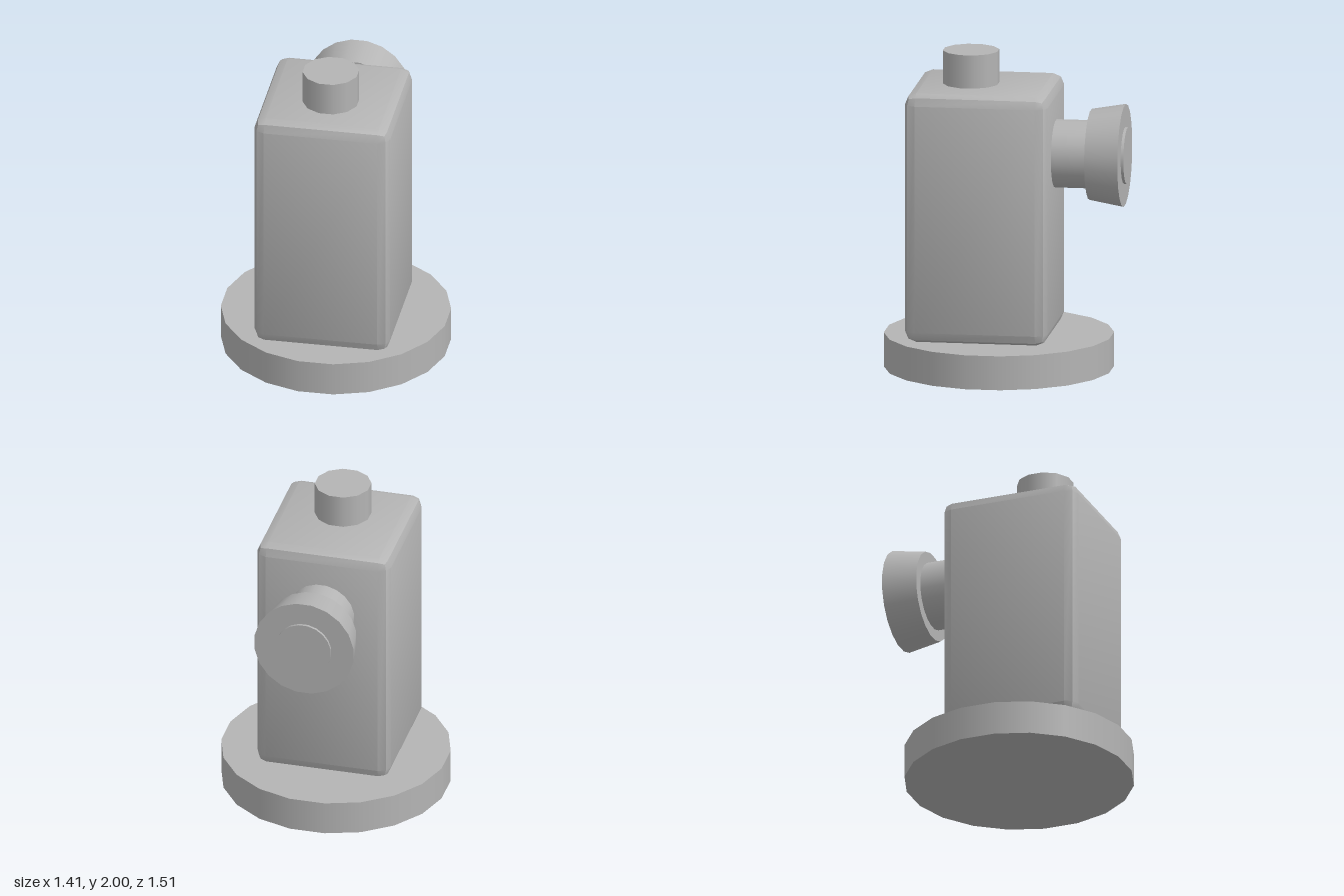
import * as THREE from 'three';
import { toCreasedNormals } from 'three/addons/utils/BufferGeometryUtils.js';
import { RoundedBoxGeometry } from 'three/addons/geometries/RoundedBoxGeometry.js';

export function createModel() {
  const group = new THREE.Group();
  const grey = new THREE.MeshStandardMaterial({ color: 0xb4b4b4 });
  grey.name = 'plainGrey';

  const add = (name, geometry, x, y, z) => {
    const mesh = new THREE.Mesh(geometry, grey);
    mesh.name = name;
    mesh.position.set(x, y, z);
    group.add(mesh);
  };

  // Upright cylinder turned half a side, so a flat faces each axis
  const upright = (name, radius, y0, y1, z, sides) => add(name,
    new THREE.CylinderGeometry(radius, radius, y1 - y0, sides, 1, false, Math.PI / sides),
    0, (y0 + y1) / 2, z);

  // Cylinder or cone lying along z, from its front end to its back end
  const lying = (name, rFront, rBack, zFront, zBack) => add(name,
    new THREE.CylinderGeometry(rBack, rFront, zFront - zBack, 20, 1, false, Math.PI / 20)
      .rotateX(-Math.PI / 2),
    0, 1.36, (zFront + zBack) / 2);

  // Round foot
  upright('base', 0.714, 0, 0.215, 0.05, 20);

  // Tall body with softly bevelled edges
  add('body',
    toCreasedNormals(new RoundedBoxGeometry(0.855, 1.575, 0.892, 1, 0.07), Math.PI / 6),
    0, 1.0025, 0.14);

  // Stub on top
  upright('topButton', 0.176, 1.75, 2, 0.225, 12);

  // Eyepiece at the back: neck, flared cup and end disc
  lying('eyepieceNeck', 0.212, 0.212, -0.27, -0.53);
  lying('eyepieceCup', 0.283, 0.32, -0.525, -0.738);
  lying('eyepieceLens', 0.177, 0.177, -0.72, -0.755);

  return group;
}
